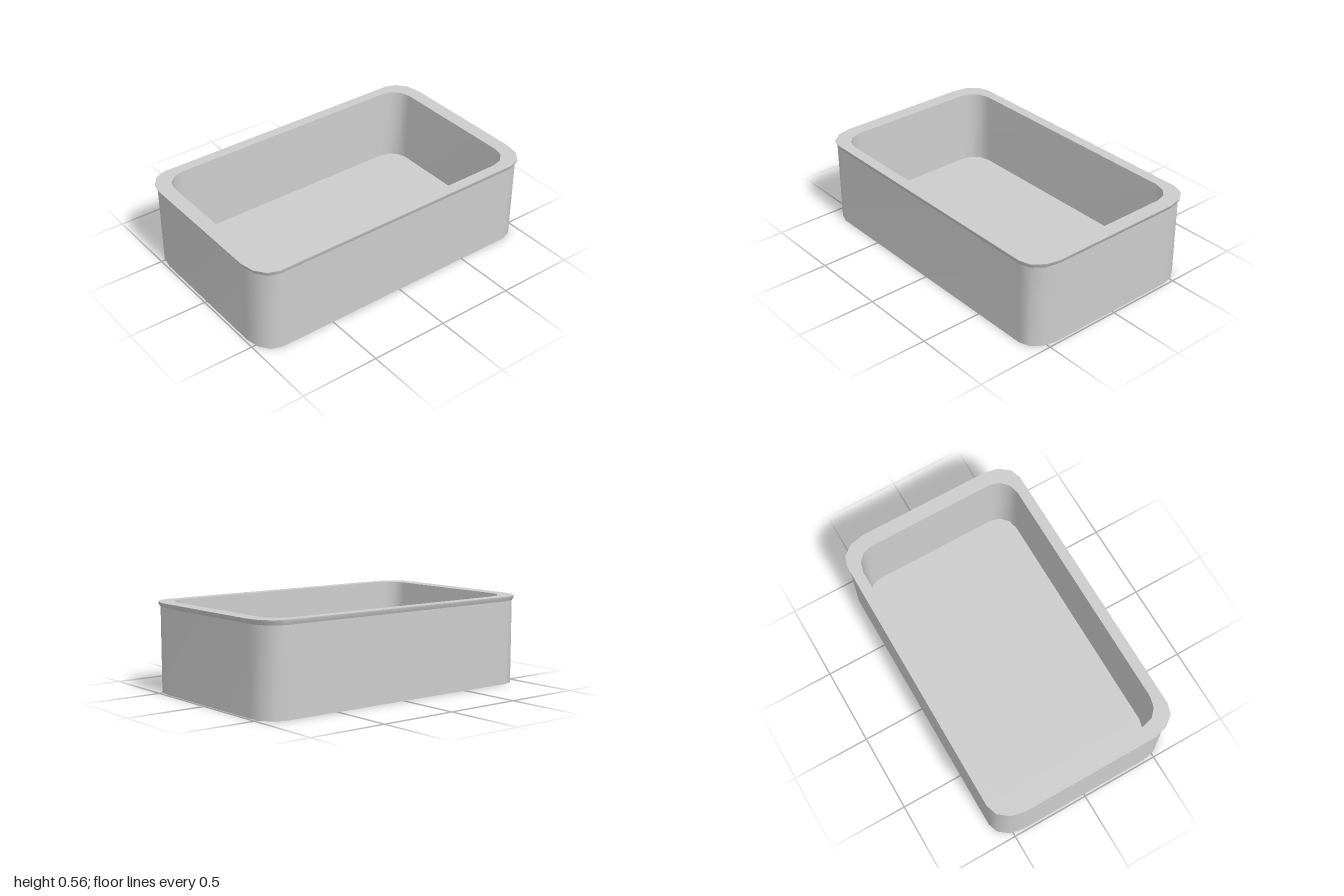
import * as THREE from 'three';

const CORNER_STEPS = 3;

// Rounded rectangle in the xz plane: half sizes and corner radii
function ring(hx, hz, rx, rz, y) {
  const pts = [];
  for (let q = 0; q < 4; q++) {
    const sx = q === 0 || q === 3 ? 1 : -1;
    const sz = q < 2 ? 1 : -1;
    for (let i = 0; i <= CORNER_STEPS; i++) {
      const a = (q + i / CORNER_STEPS) * Math.PI / 2;
      pts.push(new THREE.Vector3(
        sx * (hx - rx) + Math.cos(a) * rx, y, sz * (hz - rz) + Math.sin(a) * rz));
    }
  }
  return pts;
}

// Smooth skin through a list of rings
function skin(rings) {
  const n = rings[0].length, index = [];
  for (let r = 0; r < rings.length - 1; r++) {
    for (let i = 0; i < n; i++) {
      const a = r * n + i, b = r * n + (i + 1) % n;
      index.push(a, a + n, b, b, a + n, b + n);
    }
  }
  const geo = new THREE.BufferGeometry().setFromPoints(rings.flat());
  geo.setIndex(index);
  geo.computeVertexNormals();
  return geo;
}

// Flat cap over one ring, facing up or down
function cap(points, up) {
  const index = [];
  for (let i = 1; i < points.length - 1; i++) {
    index.push(0, up ? i + 1 : i, up ? i : i + 1);
  }
  const geo = new THREE.BufferGeometry().setFromPoints(points);
  geo.setIndex(index);
  geo.computeVertexNormals();
  return geo;
}

export function createModel() {
  const group = new THREE.Group();
  const material = new THREE.MeshStandardMaterial({ color: 0xcccccc });
  const add = (name, geometry) => {
    const mesh = new THREE.Mesh(geometry, material);
    mesh.name = name;
    group.add(mesh);
  };

  // Cross-sections from the outside bottom, over the rim, to the inside floor
  const base = ring(0.603, 0.985, 0.17, 0.13, 0);
  const neck = ring(0.603, 0.985, 0.17, 0.13, 0.525);
  const lip = ring(0.612, 0.998, 0.18, 0.14, 0.545);
  const rim = ring(0.613, 1.0, 0.18, 0.14, 0.555);
  const mouth = ring(0.545, 0.908, 0.125, 0.135, 0.555);
  const floor = ring(0.535, 0.893, 0.12, 0.13, 0.08);

  add('underside', cap(base, false));
  add('outerWall', skin([base, neck]));
  add('flaredLip', skin([neck, lip, rim]));
  add('rimTop', skin([rim, mouth]));
  add('innerWall', skin([mouth, floor]));
  add('innerFloor', cap(floor, true));

  return group;
}
